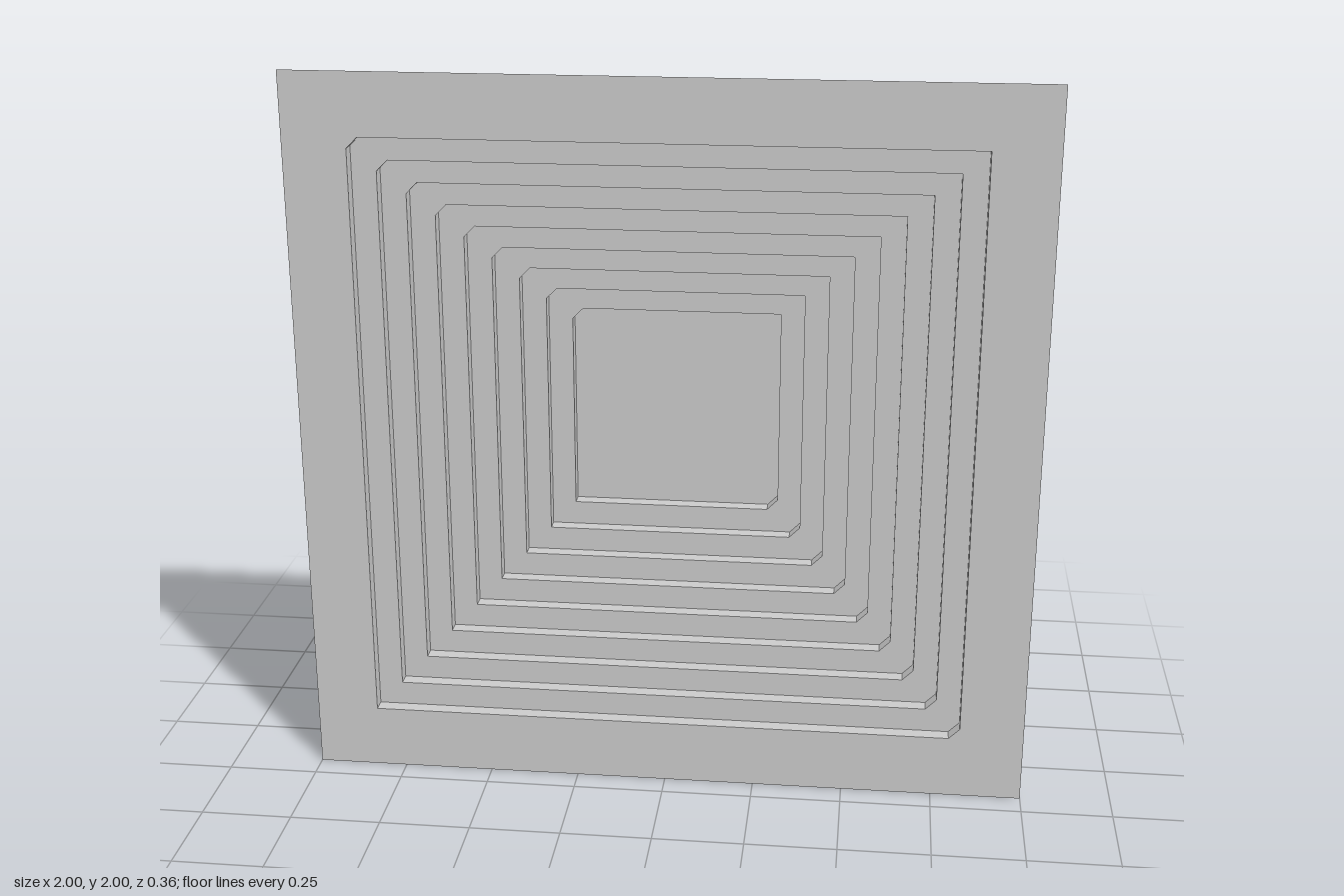
import * as THREE from 'three';

const STEPS = 9;
const FRONT = 0.179, RISE = 2 * FRONT / STEPS;
const CX = -0.002, CY = 1.003; // centre of the recess
const CHAMFER = 0.03;

// Counter-clockwise square outline, cut at the lower right and upper left corners
function outline(level) {
  const h = 0.826 - level * 0.0668, c = CHAMFER;
  return [[-h, -h], [h - c, -h], [h, -h + c], [h, h], [-h + c, h], [-h, h - c]]
    .map(([x, y]) => new THREE.Vector2(CX + x, CY + y));
}

// Flat face at depth z, with an optional hole
function face(points, hole, z) {
  const shape = new THREE.Shape(points);
  if (hole) shape.holes.push(new THREE.Path(hole));
  return new THREE.ShapeGeometry(shape).translate(0, 0, z);
}

// Flat walls along an outline, facing inward
function walls(points, zFront, zBack) {
  const pos = [];
  points.forEach((a, i) => {
    const b = points[(i + 1) % points.length];
    pos.push(a.x, a.y, zFront, b.x, b.y, zFront, b.x, b.y, zBack);
    pos.push(a.x, a.y, zFront, b.x, b.y, zBack, a.x, a.y, zBack);
  });
  const geo = new THREE.BufferGeometry();
  geo.setAttribute('position', new THREE.Float32BufferAttribute(pos, 3));
  geo.computeVertexNormals();
  return geo;
}

export function createModel() {
  const group = new THREE.Group();
  group.name = 'steppedCofferPanel';
  const grey = new THREE.MeshStandardMaterial({ color: 0xcccccc, side: THREE.DoubleSide });
  grey.name = 'light grey';

  const add = (name, geometry) => {
    const mesh = new THREE.Mesh(geometry, grey);
    mesh.name = name;
    group.add(mesh);
  };

  // Thin square panel around the opening
  const square = [[-1, 0], [1, 0], [1, 2], [-1, 2]].map(([x, y]) => new THREE.Vector2(x, y));
  add('panel', face(square, outline(0), FRONT));

  // Steps narrowing toward the back; the last one closes with a floor
  for (let i = 0; i < STEPS; i++) {
    const z = FRONT - i * RISE;
    const last = i === STEPS - 1;
    add(`stepWall${i + 1}`, walls(outline(i), z, z - RISE));
    add(last ? 'floor' : `stepTread${i + 1}`, face(outline(i), last ? null : outline(i + 1), z - RISE));
  }
  return group;
}
